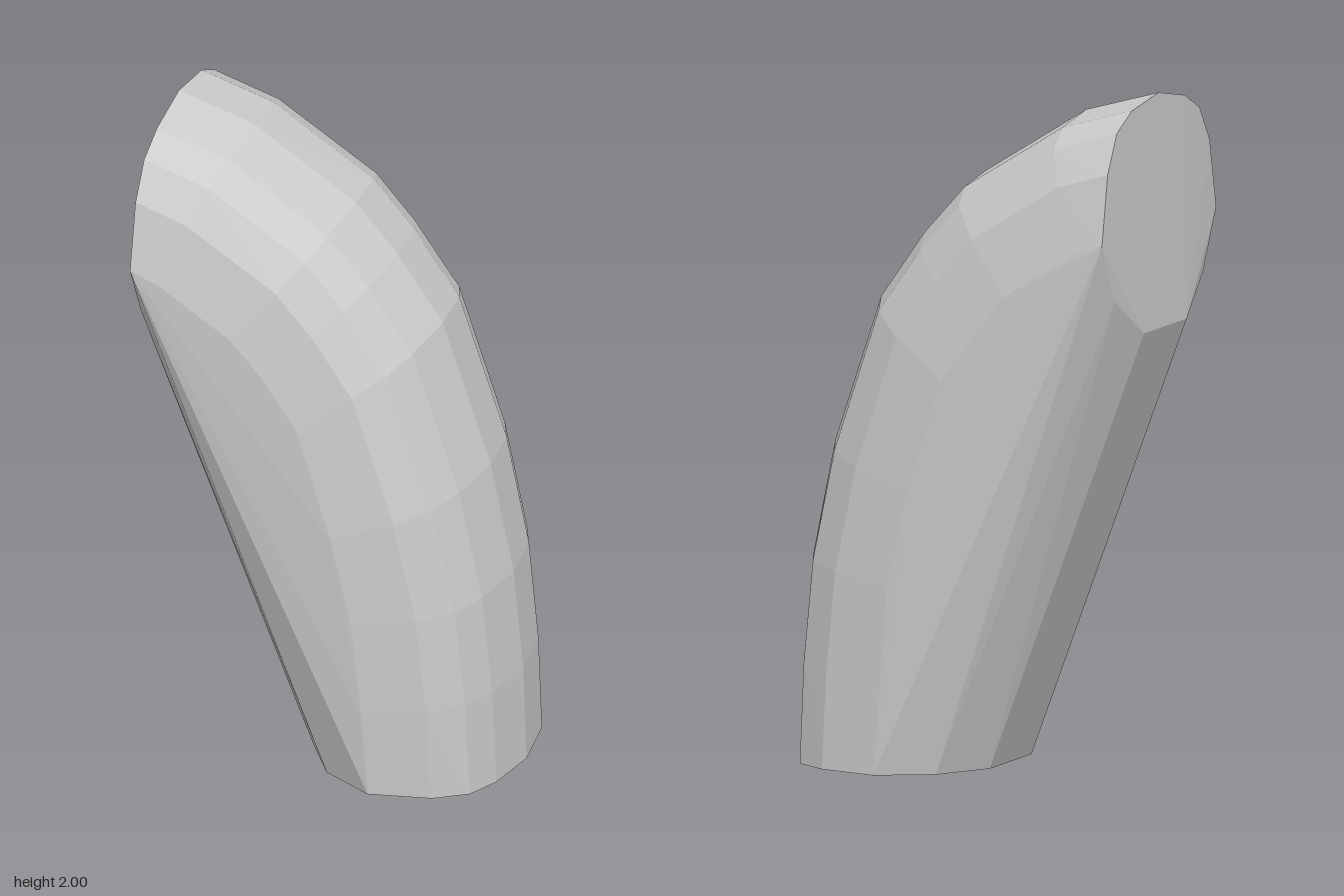
import * as THREE from 'three';
import { ConvexGeometry } from 'three/addons/geometries/ConvexGeometry.js';

// Faceted ring: u runs from inner (0) to outer (1) side of the bend, z is sideways
const RING = [
  [1, 0], [0.96, -0.19], [0.885, -0.295], [0.72, -0.36], [0.42, -0.4], [0.16, -0.31], [0, -0.15],
  [0, 0.15], [0.16, 0.31], [0.42, 0.4], [0.72, 0.355], [0.875, 0.285], [0.95, 0.18],
];

// Stations along the outer curve: x, y, inward angle in degrees, thickness, front width, back width
const STATIONS = [
  [0.54, 0, 0, 0.61, 0.92, 1.01],
  [0.53, 0.3, 4, 0.62, 0.96, 1],
  [0.5, 0.61, 8, 0.62, 0.98, 1],
  [0.43, 0.95, 18, 0.63, 1, 1],
  [0.28, 1.39, 35, 0.64, 1, 1],
  [0.14, 1.59, 44, 0.65, 1, 0.99],
  [0.01, 1.735, 52, 0.66, 1, 0.99],
  [-0.31, 1.935, 68, 0.67, 1, 0.98],
  [-0.54, 2, 90, 0.68, 1, 0.98],
];

export function createModel() {
  const group = new THREE.Group();
  const points = [];
  for (const [x, y, angle, thickness, front, back] of STATIONS) {
    const a = THREE.MathUtils.degToRad(angle);
    for (const [u, z] of RING) {
      const d = (1 - u) * thickness;
      points.push(new THREE.Vector3(x - d * Math.cos(a), y - d * Math.sin(a), z * (z > 0 ? front : back)));
    }
  }
  // The bent tube is closed by a convex skin, giving the straight inner face and flat ends
  const elbow = new THREE.Mesh(
    new ConvexGeometry(points),
    new THREE.MeshStandardMaterial({ color: 0xcccccc, flatShading: true }),
  );
  elbow.name = 'elbowHull';
  group.add(elbow);
  return group;
}
